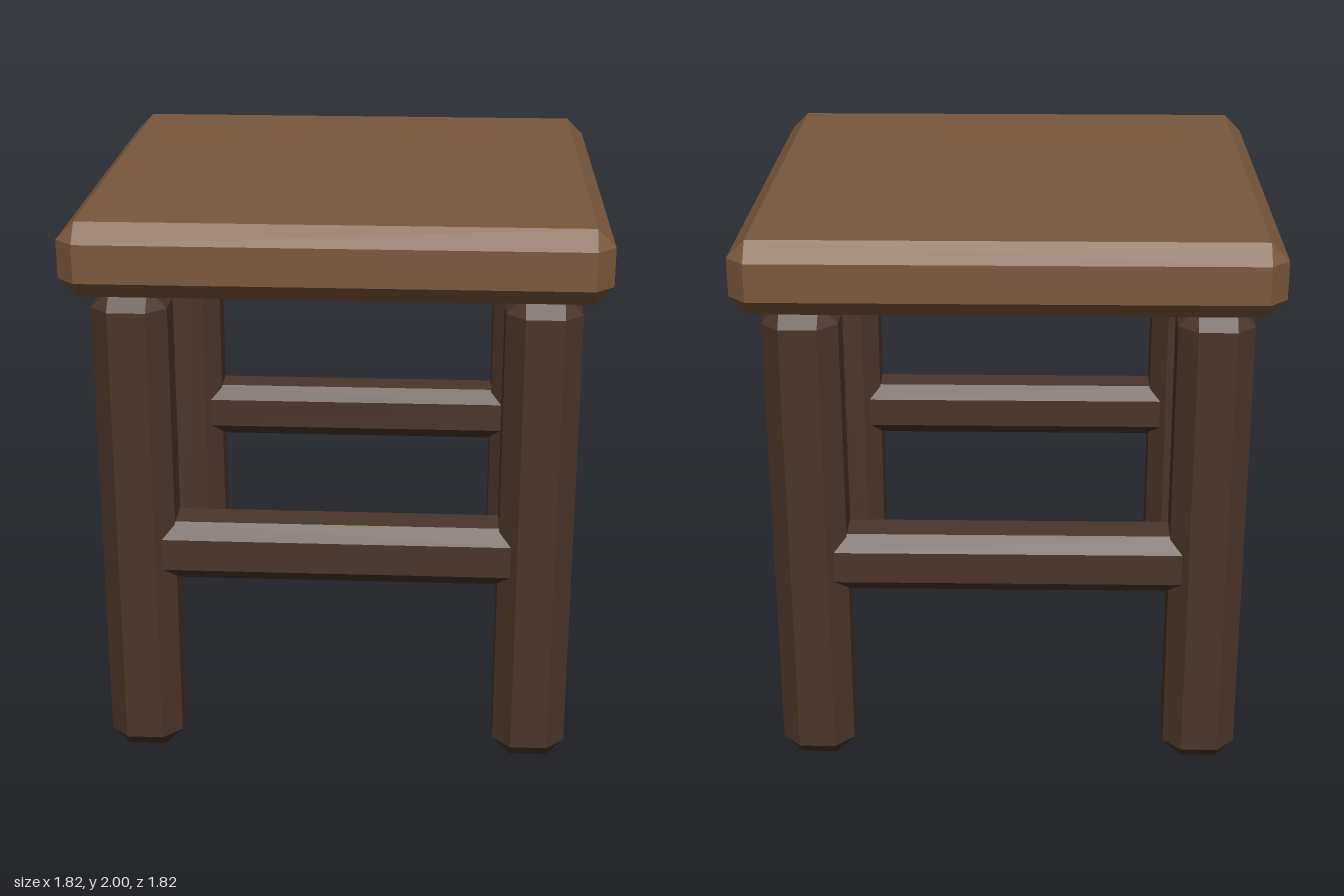
import * as THREE from 'three';
import { ConvexGeometry } from 'three/addons/geometries/ConvexGeometry.js';

// Box with every edge and corner cut flat by c
function chamferBox(w, h, d, c) {
  const [x, y, z] = [w / 2, h / 2, d / 2];
  const points = [];
  for (const i of [-1, 1]) for (const j of [-1, 1]) for (const k of [-1, 1]) {
    points.push(
      new THREE.Vector3(i * x, j * (y - c), k * (z - c)),
      new THREE.Vector3(i * (x - c), j * y, k * (z - c)),
      new THREE.Vector3(i * (x - c), j * (y - c), k * z)
    );
  }
  return new ConvexGeometry(points);
}

export function createModel() {
  const group = new THREE.Group();
  const seatWood = new THREE.MeshStandardMaterial({ color: 0x7a583c, flatShading: true });
  const legWood = new THREE.MeshStandardMaterial({ color: 0x4a352a, flatShading: true });

  const add = (name, geometry, material, x, y, z) => {
    const mesh = new THREE.Mesh(geometry, material);
    mesh.name = name;
    mesh.position.set(x, y, z);
    group.add(mesh);
  };

  // Thick square seat
  add('seat', chamferBox(1.82, 0.255, 1.82, 0.062), seatWood, 0, 1.8725, 0);

  // Four legs, with a stretcher joining each front and back pair
  const inset = 0.695;
  const leg = chamferBox(0.258, 1.745, 0.258, 0.064);
  const stretcher = chamferBox(1.36, 0.215, 0.215, 0.05);
  for (const [end, z] of [['front', inset], ['back', -inset]]) {
    add(end + 'LeftLeg', leg, legWood, inset, 0.8725, z);
    add(end + 'RightLeg', leg, legWood, -inset, 0.8725, z);
    add(end + 'Stretcher', stretcher, legWood, 0, 0.7875, z);
  }
  return group;
}
